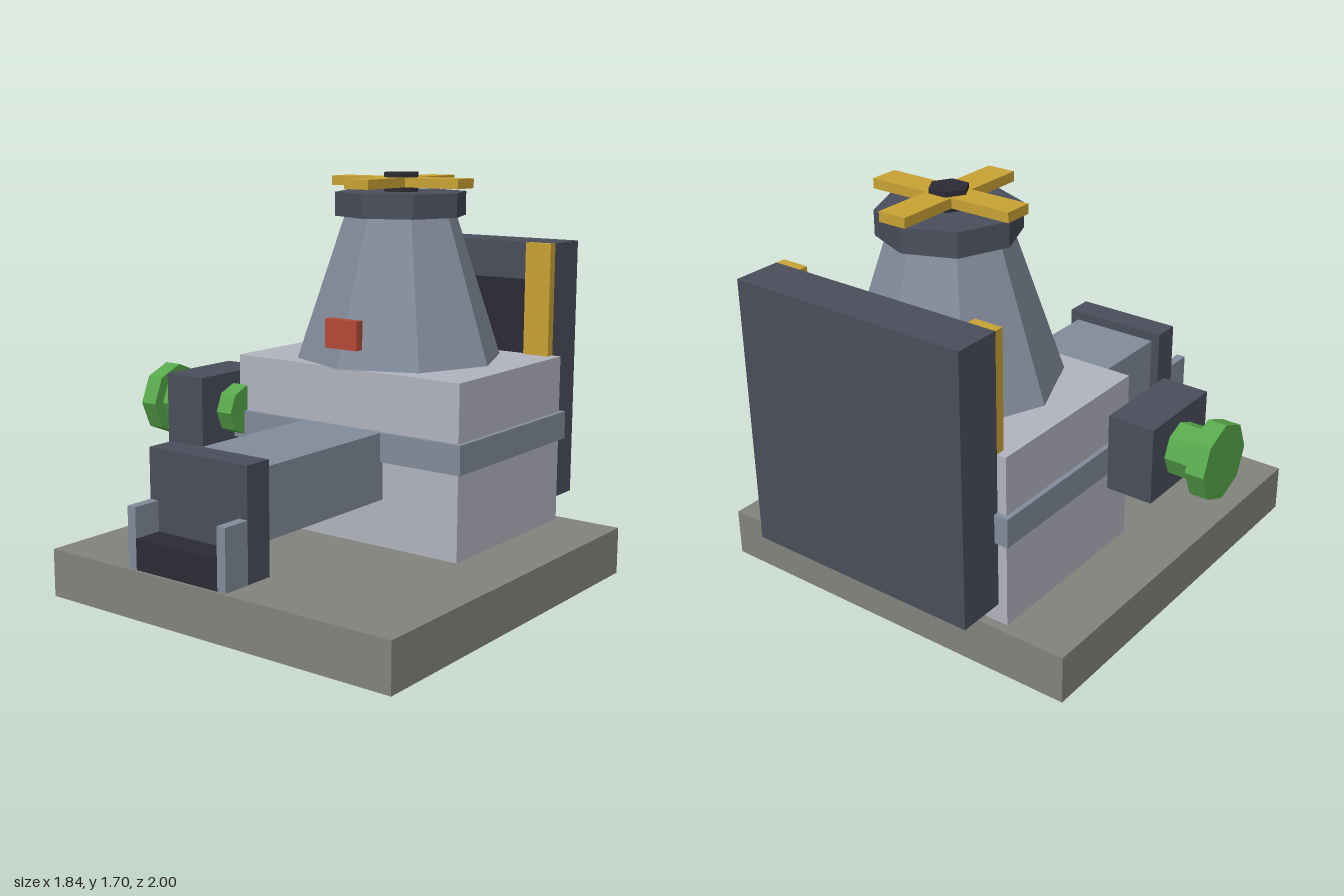
import * as THREE from 'three';

const mat = (name, color) => {
  const m = new THREE.MeshStandardMaterial({ color });
  m.name = name;
  return m;
};

export function createModel() {
  const model = new THREE.Group();
  const stone = mat('stone grey', 0x84847e);
  const pale = mat('pale grey', 0xb2b4c0);
  const steel = mat('blue steel', 0x828c9b);
  const dark = mat('dark steel', 0x4a4f5c);
  const black = mat('black', 0x2c2b34);
  const gold = mat('gold', 0xcaa334);
  const green = mat('green', 0x58a84c);
  const red = mat('red', 0xb44a38);

  // Box given by its lower and upper limits on each axis
  const box = (name, material, [x0, x1], [y0, y1], [z0, z1]) => {
    const mesh = new THREE.Mesh(new THREE.BoxGeometry(x1 - x0, y1 - y0, z1 - z0), material);
    mesh.position.set((x0 + x1) / 2, (y0 + y1) / 2, (z0 + z1) / 2);
    mesh.name = name;
    model.add(mesh);
    return mesh;
  };

  // Faceted prism or frustum, flat shaded through split faces
  const prism = (name, material, rTop, rBottom, height, sides, x, y, z) => {
    const geo = new THREE.CylinderGeometry(rTop, rBottom, height, sides).toNonIndexed();
    geo.computeVertexNormals();
    const mesh = new THREE.Mesh(geo, material);
    mesh.position.set(x, y, z);
    mesh.name = name;
    model.add(mesh);
    return mesh;
  };

  const cx = 0.08, cz = -0.4; // axis of the bonnet

  // Plinth and body
  box('plinth', stone, [-0.76, 0.92], [0, 0.2], [-0.84, 0.84]);
  box('body', pale, [-0.48, 0.64], [0.2, 0.92], [-0.8, 0]);
  box('bodyBand', steel, [-0.5, 0.66], [0.56, 0.68], [-0.82, 0.02]);

  // Bonnet with cap and handwheel
  prism('bonnet', steel, 0.24, 0.44, 0.6, 8, cx, 1.22, cz);
  prism('bonnetCap', dark, 0.28, 0.28, 0.1, 8, cx, 1.57, cz);
  prism('wheelHub', black, 0.08, 0.08, 0.08, 6, cx, 1.66, cz).rotation.y = Math.PI / 2;
  box('wheelBar', gold, [cx - 0.32, cx + 0.32], [1.64, 1.68], [cz - 0.06, cz + 0.06]);
  for (const s of [-1, 1]) {
    const a = cz + s * 0.06, b = cz + s * 0.32;
    box('wheelSpoke', gold, [cx - 0.06, cx + 0.06], [1.64, 1.68], [Math.min(a, b), Math.max(a, b)]);
  }
  box('indicator', red, [0, 0.16], [1, 1.12], [-0.02, 0.02]);

  // Back plate, its dark panel and gold rails
  box('backPlate', dark, [-0.44, 0.6], [0.28, 1.4], [-1, -0.8]);
  box('backPanel', black, [-0.32, 0.48], [0.92, 1.24], [-0.8, -0.78]);
  for (const x of [-0.44, 0.48]) box('backRail', gold, [x, x + 0.12], [0.92, 1.4], [-0.8, -0.76]);

  // Side valve on the right
  box('valveBlock', dark, [-0.72, -0.52], [0.52, 0.84], [-0.2, 0.2]);
  prism('valvePipe', green, 0.11, 0.11, 0.4, 8, -0.64, 0.68, 0).rotation.z = Math.PI / 2;
  prism('valveKnob', green, 0.16, 0.16, 0.08, 8, -0.88, 0.68, 0).rotation.z = Math.PI / 2;

  // Front spout with its open mouth
  box('spoutArm', steel, [-0.12, 0.28], [0.4, 0.68], [0, 0.76]);
  box('spoutHead', dark, [-0.16, 0.32], [0.28, 0.72], [0.76, 0.88]);
  box('spoutMouth', black, [-0.12, 0.28], [0.28, 0.4], [0.88, 1]);
  for (const x of [-0.16, 0.28]) box('mouthCheek', steel, [x, x + 0.04], [0.28, 0.52], [0.88, 1]);

  return model;
}
